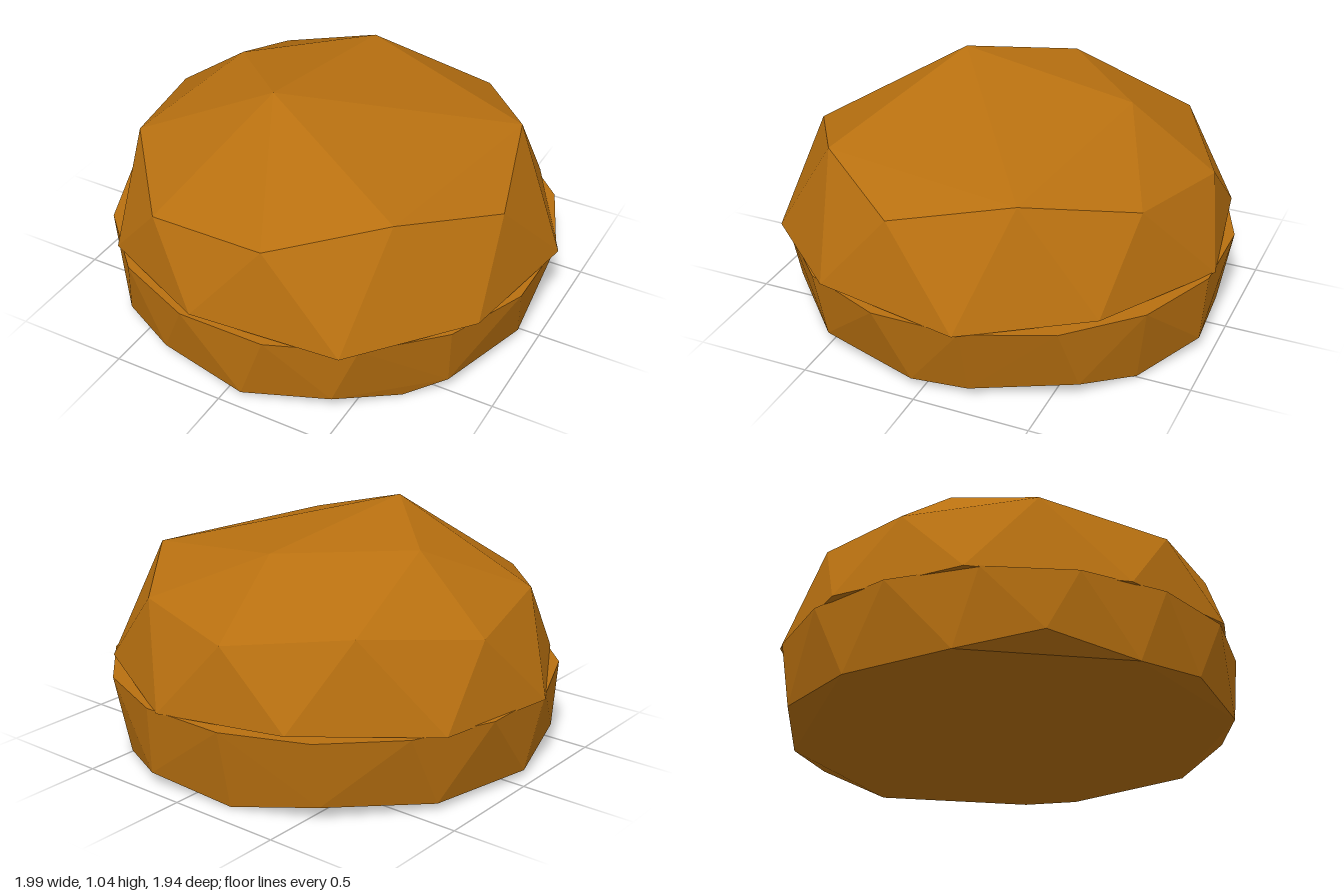
import * as THREE from 'three';
import { ConvexGeometry } from 'three/addons/geometries/ConvexGeometry.js';

const crust = new THREE.MeshStandardMaterial({ color: 0xb87010, flatShading: true });

// Faceted solid stretched around a few corner points
function facetedSolid(name, points) {
  const mesh = new THREE.Mesh(new ConvexGeometry(points), crust);
  mesh.name = name;
  return mesh;
}

const toVectors = (list) => list.map((p) => new THREE.Vector3(...p));

export function createModel() {
  const group = new THREE.Group();
  group.name = 'bun';

  // Domed top: off-centre crown, shoulder ring and ten-sided rim
  const crown = [[-0.14, 1.04, 0.28], [-0.52, 0.94, -0.09], [-0.08, 0.94, -0.51]];
  const shoulder = [
    [0.72, 0.81, -0.33], [0.86, 0.71, 0.17], [0.57, 0.81, 0.58], [0.14, 0.71, 0.86],
    [-0.41, 0.65, 0.8], [-0.77, 0.72, 0.37], [-0.89, 0.66, -0.16], [-0.6, 0.72, -0.61],
    [-0.13, 0.66, -0.87], [0.4, 0.71, -0.73],
  ];
  const rim = [
    [-0.14, 0.37, 0.97], [0.5, 0.34, 0.89], [0.9, 0.37, 0.46], [0.99, 0.34, -0.17],
    [0.7, 0.37, -0.67], [0.13, 0.34, -0.97], [-0.46, 0.37, -0.87], [-0.91, 0.34, -0.43],
    [-1, 0.34, 0.14], [-0.68, 0.34, 0.71],
  ];
  group.add(facetedSolid('topBun', toVectors([...crown, ...shoulder, ...rim])));

  // Shallow base: regular upper ring over an uneven lower edge
  const upperRing = [];
  for (let i = 0; i < 16; i++) {
    const a = ((i + 0.5) / 16) * Math.PI * 2;
    upperRing.push(new THREE.Vector3(Math.cos(a) * 0.99, 0.345, Math.sin(a) * 0.98));
  }
  const lowerEdge = [
    [-0.95, 0.03, 0.08], [-0.87, 0.1, 0.42], [-0.63, 0.03, 0.72], [-0.33, 0.065, 0.89],
    [0.08, 0.035, 0.955], [0.44, 0.065, 0.84], [0.65, 0.005, 0.62], [0.8, 0.06, 0.5],
    [0.92, 0.035, 0.05], [0.89, 0.035, -0.19], [0.72, 0.06, -0.6], [0.5, 0.005, -0.77],
    [0.2, 0.05, -0.94], [-0.2, 0.005, -0.9], [-0.55, 0.06, -0.77], [-0.85, 0.03, -0.4],
    [0.25, 0, 0.6],
  ];
  group.add(facetedSolid('bottomBun', [...upperRing, ...toVectors(lowerEdge)]));

  return group;
}
